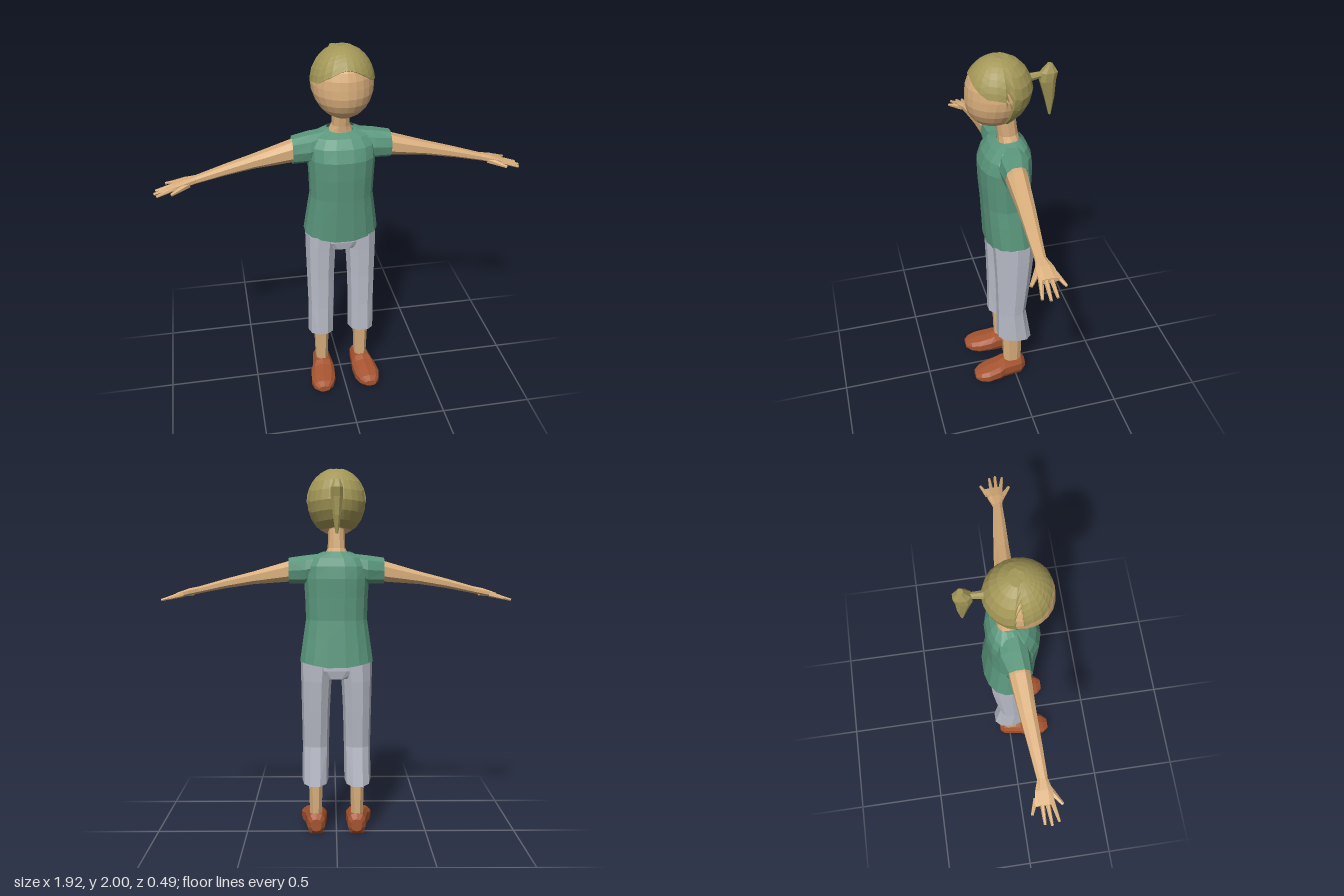
import * as THREE from 'three';

const SKIN = 0xd9ae7c, SHIRT = 0x5a967c, TROUSERS = 0xb9bcc8, HAIR = 0xa39757, SHOE = 0xa5532f;

// Joins equal-length rings, ordered along the axis, into a faceted skin
function skin(rings, capStart = true, capEnd = true) {
  const n = rings[0].length, out = [];
  const tri = (a, b, c) => [a, b, c].forEach(v => out.push(v.x, v.y, v.z));
  for (let i = 0; i < rings.length - 1; i++) {
    for (let j = 0; j < n; j++) {
      const k = (j + 1) % n, p = rings[i], q = rings[i + 1];
      tri(p[j], p[k], q[k]);
      tri(p[j], q[k], q[j]);
    }
  }
  const cap = (ring, flip) => {
    const c = ring.reduce((s, v) => s.add(v), new THREE.Vector3()).divideScalar(n);
    ring.forEach((v, j) => {
      const w = ring[(j + 1) % n];
      flip ? tri(c, w, v) : tri(c, v, w);
    });
  };
  if (capStart) cap(rings[0], true);
  if (capEnd) cap(rings[rings.length - 1], false);
  const g = new THREE.BufferGeometry();
  g.setAttribute('position', new THREE.Float32BufferAttribute(out, 3));
  g.computeVertexNormals();
  return g;
}

// Rounded cross-sections [position, c1, r1, c2, r2]; the two cross axes follow
// the main axis cyclically: x -> (y, z), y -> (z, x), z -> (x, y)
function loft(axis, sections, { n = 10, p = 0.85, start = true, end = true, bend } = {}) {
  const m = 'xyz'.indexOf(axis);
  const pw = v => Math.sign(v) * Math.abs(v) ** p;
  const rings = sections.map(([pos, c1, r1, c2, r2], i) => Array.from({ length: n }, (_, j) => {
    const a = (j + 0.5) / n * Math.PI * 2, v = new THREE.Vector3();
    v.setComponent(m, pos);
    v.setComponent((m + 1) % 3, c1 + r1 * pw(Math.cos(a)));
    v.setComponent((m + 2) % 3, c2 + r2 * pw(Math.sin(a)));
    if (bend) bend(v, i);
    return v;
  }));
  return skin(rings, start, end);
}

// Tapered rod between two points
function rod(a, b, ra, rb, n = 6) {
  const A = new THREE.Vector3(...a), B = new THREE.Vector3(...b), d = B.clone().sub(A);
  const g = new THREE.CylinderGeometry(rb, ra, d.length(), n);
  g.applyQuaternion(new THREE.Quaternion().setFromUnitVectors(new THREE.Vector3(0, 1, 0), d.normalize()));
  g.translate(...A.add(B).multiplyScalar(0.5).toArray());
  return g.toNonIndexed();
}

// Copy reflected in x, with the corner order restored
function mirrored(g) {
  const s = g.attributes.position, out = [];
  for (let i = 0; i < s.count; i += 3)
    for (const k of [i, i + 2, i + 1]) out.push(-s.getX(k), s.getY(k), s.getZ(k));
  const r = new THREE.BufferGeometry();
  r.setAttribute('position', new THREE.Float32BufferAttribute(out, 3));
  r.computeVertexNormals();
  return r;
}

// Point on the egg-shaped head: azimuth from the front, polar angle from the crown
function headPoint(a, polar, s) {
  const c = Math.cos(polar), r = Math.sin(polar) * s;
  return new THREE.Vector3(0.16 * r * Math.sin(a), 1.82 + 0.18 * c * s,
    0.055 + 0.17 * r * Math.cos(a) + 0.03 * Math.max(0, -c));
}

export function createModel() {
  const model = new THREE.Group();
  model.name = 'girl';
  const add = (name, geometry, color) => {
    const material = new THREE.MeshStandardMaterial({ color, flatShading: true, side: THREE.DoubleSide });
    const mesh = new THREE.Mesh(geometry, material);
    mesh.name = name;
    model.add(mesh);
  };
  const pair = (name, g, color) => {
    add('left' + name, g, color);
    add('right' + name, mirrored(g), color);
  };
  const N = 24, turn = j => j / N * Math.PI * 2, rad = Math.PI / 180;

  // Head and neck
  const headRings = [];
  for (let p = 174; p > 0; p -= 14)
    headRings.push(Array.from({ length: N }, (_, j) => headPoint(turn(j), p * rad, 0.97)));
  add('head', skin(headRings), SKIN);
  add('neck', loft('y', [[1.5, 0.005, 0.06, 0, 0.08], [1.55, 0.005, 0.055, 0, 0.062],
    [1.58, 0.01, 0.052, 0, 0.047], [1.7, 0.025, 0.052, 0, 0.044]]), SKIN);

  // Hair cap: its lower edge, in polar degrees every 15 degrees from the front to the back
  const edge = [58, 61, 68, 76, 83, 84, 88, 138, 144, 142, 140, 138, 136];
  const hairRings = [];
  const hairRow = (f, s) => hairRings.push(Array.from({ length: N }, (_, j) =>
    headPoint(turn(j), edge[Math.min(j, N - j)] * f * rad, s)));
  hairRow(1, 0.95);
  for (let i = 8; i >= 1; i--) hairRow(i / 8, 1);
  add('hair', skin(hairRings, false, true), HAIR);

  // Ponytail and its tie
  add('hairTie', rod([0, 1.865, -0.09], [0, 1.875, -0.17], 0.022, 0.016, 8), HAIR);
  add('ponytail', loft('y', [[1.655, -0.208, 0.006, 0, 0.008], [1.75, -0.203, 0.026, 0, 0.022],
    [1.84, -0.192, 0.042, 0, 0.033], [1.885, -0.198, 0.045, 0, 0.033],
    [1.925, -0.203, 0.014, 0, 0.018]], { n: 8 }), HAIR);

  // Shirt body, open at the hem, which rises at the sides
  add('shirt', loft('y', [[0.945, 0.003, 0.138, 0, 0.2], [1.1, 0.015, 0.133, 0, 0.182],
    [1.2, 0.023, 0.13, 0, 0.167], [1.32, 0.027, 0.135, 0, 0.171], [1.42, 0.027, 0.138, 0, 0.177],
    [1.485, 0.02, 0.122, 0, 0.175], [1.53, 0.012, 0.095, 0, 0.145], [1.562, 0.005, 0.06, 0, 0.072]],
  { n: 16, start: false, end: false, bend: (v, i) => {
    if (i === 0) v.y += 0.03 * Math.abs(v.x) / 0.2;
    if (i === 7 && v.z > 0) v.y -= 0.2 * v.z;
  } }), SHIRT);
  pair('Sleeve', loft('x', [[0.06, 1.495, 0.06, 0.01, 0.07], [0.165, 1.466, 0.078, 0.014, 0.08],
    [0.255, 1.46, 0.071, 0.027, 0.063]], { end: false }), SHIRT);

  // Arms running into the palms
  pair('Arm', loft('x', [[0.18, 1.465, 0.06, 0.022, 0.056], [0.26, 1.455, 0.058, 0.027, 0.054],
    [0.45, 1.42, 0.036, 0.038, 0.043], [0.6, 1.389, 0.027, 0.05, 0.035],
    [0.745, 1.354, 0.02, 0.06, 0.027], [0.8, 1.343, 0.02, 0.058, 0.045],
    [0.865, 1.327, 0.013, 0.054, 0.051]], { n: 8 }), SKIN);

  // Fingers from the index to the little one, then the thumb
  [[0.09, 0.945, 0.112], [0.067, 0.958, 0.076], [0.043, 0.95, 0.043], [0.017, 0.9, -0.012]].forEach(
    ([z, tipX, tipZ], i) => pair('Finger' + (i + 1),
      rod([0.845 - i * 0.006, 1.33, z], [tipX, 1.297 + (0.958 - tipX) * 0.25, tipZ], 0.013, 0.007), SKIN));
  pair('Thumb', rod([0.785, 1.338, 0.08], [0.87, 1.318, 0.14], 0.018, 0.008), SKIN);

  // Trousers: hips, then two cropped legs with hems sloping down to the back
  add('hips', loft('y', [[0.885, 0.005, 0.1, 0, 0.1], [0.93, 0.005, 0.11, 0, 0.188],
    [1.02, 0.005, 0.11, 0, 0.18]], { n: 14 }), TROUSERS);
  pair('TrouserLeg', loft('y', [[0.305, 0.005, 0.1, 0.117, 0.073], [0.5, 0.02, 0.082, 0.114, 0.073],
    [0.7, 0.01, 0.096, 0.113, 0.077], [0.87, 0.005, 0.108, 0.11, 0.083], [0.97, 0.005, 0.113, 0.105, 0.089]],
  { start: false, bend: (v, i) => { if (i === 0) v.y += v.z * 0.19; } }), TROUSERS);

  // Lower legs and shoes
  pair('LowerLeg', loft('y', [[0.07, 0.015, 0.052, 0.115, 0.034], [0.2, 0.015, 0.056, 0.115, 0.038],
    [0.4, 0.018, 0.06, 0.115, 0.044]], { n: 8 }), SKIN);
  pair('Shoe', loft('z', [[-0.06, 0.112, 0.03, 0.055, 0.035], [-0.035, 0.113, 0.05, 0.06, 0.058],
    [0.07, 0.117, 0.062, 0.06, 0.06], [0.1, 0.122, 0.07, 0.053, 0.053], [0.17, 0.13, 0.072, 0.045, 0.045],
    [0.215, 0.134, 0.058, 0.042, 0.036], [0.245, 0.136, 0.032, 0.042, 0.018]],
  { p: 0.75, bend: v => { if (v.y < 0.02 && v.z > -0.05 && v.z < 0.2) v.y = 0; } }), SHOE);

  return model;
}
